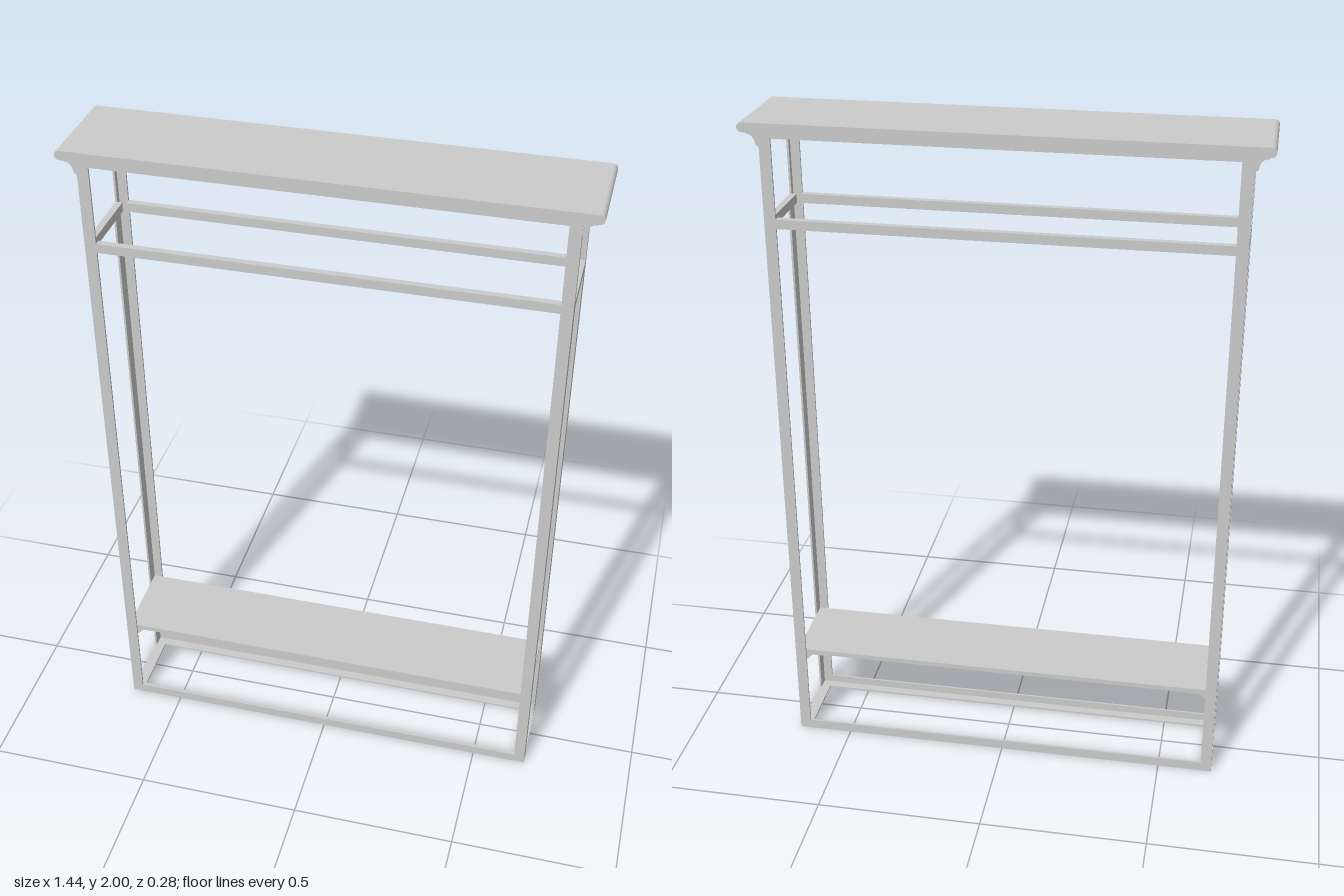
import * as THREE from 'three';

const material = new THREE.MeshStandardMaterial({ color: 0xcccccc, side: THREE.DoubleSide });
const T = 0.006; // plate thickness of the angle irons
const X = 0.666, Z = 0.13; // outer faces of the frame

export function createModel() {
  const root = new THREE.Group();
  const add = (name, geometry) => {
    const mesh = new THREE.Mesh(geometry, material);
    mesh.name = name;
    root.add(mesh);
    return mesh;
  };
  // Box given by its lower and upper corners
  const box = (name, x0, x1, y0, y1, z0, z1) => {
    const g = new THREE.BoxGeometry(Math.abs(x1 - x0), y1 - y0, Math.abs(z1 - z0));
    g.translate((x0 + x1) / 2, (y0 + y1) / 2, (z0 + z1) / 2);
    return add(name, g);
  };
  // Outline extruded along z, centred on the given z
  const plate = (name, shape, depth, z) => {
    const g = new THREE.ExtrudeGeometry(shape, { depth, bevelEnabled: false, curveSegments: 8 });
    g.translate(0, 0, z - depth / 2);
    return add(name, g);
  };
  // Angle-iron post: one leg across the front, one leg along the side
  const post = (name, sx, sz, y0, y1, sideLeg) => {
    box(name + 'FaceLeg', sx * X, sx * (X - 0.033), y0, y1, sz * Z, sz * (Z - T));
    box(name + 'SideLeg', sx * X, sx * (X - T), y0, y1, sz * (Z - T), sz * (Z - sideLeg));
  };

  for (const sz of [1, -1]) {
    for (const sx of [1, -1]) {
      post('lowerPost', sx, sz, 0, 1.727, 0.043);
      post('upperPost', sx, sz, 1.727, 1.973, 0.022);

      // Curved corbel under the overhang of the top
      const c = new THREE.Shape();
      c.moveTo(sx * X, 1.973);
      c.lineTo(sx * 0.705, 1.973);
      c.lineTo(sx * 0.702, 1.965);
      c.quadraticCurveTo(sx * 0.678, 1.963, sx * 0.676, 1.935);
      c.lineTo(sx * X, 1.928);
      plate('topCorbel', c, 0.016, sz * 0.119);

      // Small bent bracket under the shelf
      const b = new THREE.Shape();
      b.moveTo(sx * 0.57, 0.285);
      b.lineTo(sx * 0.66, 0.285);
      b.lineTo(sx * 0.66, 0.255);
      b.lineTo(sx * 0.635, 0.258);
      b.lineTo(sx * 0.615, 0.279);
      b.lineTo(sx * 0.57, 0.279);
      plate('shelfBracket', b, 0.012, sz * 0.112);
    }

    // Long rails at the front and back
    const x = X - 0.033;
    box('middleRail', -x, x, 1.7, 1.727, sz * Z, sz * (Z - 0.02));
    box('bottomRail', -x, x, 0, 0.03, sz * Z, sz * (Z - T));
    box('bottomRailFlange', -X + T, X - T, 0, T, sz * (Z - T), sz * (Z - 0.033));
    box('topRail', -x, x, 1.955, 1.973, sz * Z, sz * (Z - 0.02));
  }

  // Short rails at the two ends
  for (const sx of [1, -1]) {
    box('sideMiddleRail', sx * X, sx * (X - 0.02), 1.7, 1.727, -0.11, 0.11);
    box('sideTopRail', sx * X, sx * (X - 0.02), 1.955, 1.973, -0.11, 0.11);
    box('sideBottomPlate', sx * X, sx * (X - 0.033), 0, T, -Z + 0.033, Z - 0.033);
  }

  // Shelf resting inside the posts
  box('shelf', -0.659, 0.659, 0.285, 0.3, -0.123, 0.123);

  // Top board with rounded ends
  const top = new THREE.Shape();
  const r = 0.0135;
  top.absarc(0.72 - r, 2 - r, r, -Math.PI / 2, Math.PI / 2, false);
  top.absarc(-0.72 + r, 2 - r, r, Math.PI / 2, Math.PI * 1.5, false);
  plate('topBoard', top, 0.285, -0.002);

  return root;
}
